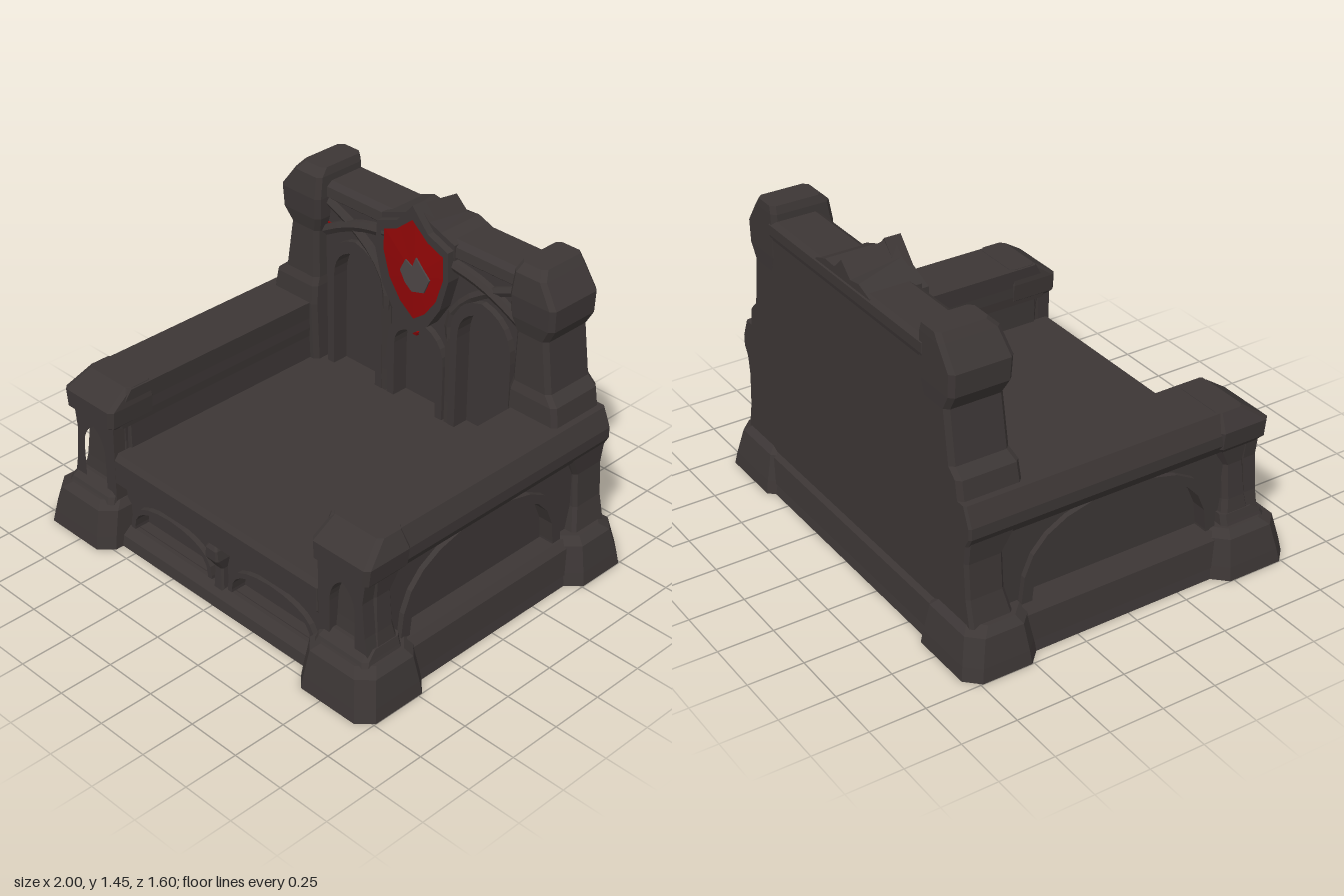
import * as THREE from 'three';

const stone = new THREE.MeshStandardMaterial({ color: 0x3c3635 });
stone.name = 'dark stone';
const red = new THREE.MeshStandardMaterial({ color: 0x900607 });
red.name = 'shield red';
const grey = new THREE.MeshStandardMaterial({ color: 0x4c4545 });
grey.name = 'worn grey';

// Outline of an arch; roundness 1 is a round head, lower is more pointed
function arch(cx, hw, y0, spring, top, roundness) {
  const cy = spring + (top - spring) * roundness;
  const p = new THREE.Path();
  p.moveTo(cx - hw, y0);
  p.lineTo(cx - hw, spring);
  p.quadraticCurveTo(cx - hw, cy, cx, top);
  p.quadraticCurveTo(cx + hw, cy, cx + hw, spring);
  p.lineTo(cx + hw, y0);
  return p.getPoints(6);
}

const vecs = (list) => list.map(([x, y]) => new THREE.Vector2(x, y));
const mirrored = (half) => vecs([
  ...half, ...half.filter((p) => p[0] > 0).reverse().map(([x, y]) => [-x, y]),
]);

function slab(points, holes, depth) {
  const shape = new THREE.Shape(points);
  for (const h of holes) shape.holes.push(new THREE.Path(h));
  return new THREE.ExtrudeGeometry(shape, { depth, bevelEnabled: false });
}

// Chamfered block through levels [y, x0, x1, z0, z1], mirrored when side is -1
function block(levels, c = 0.02, side = 1) {
  const pos = [];
  const rings = levels.map(([y, a, b, z0, z1]) => {
    const x0 = side > 0 ? a : -b, x1 = side > 0 ? b : -a;
    return [[x0, z1 - c], [x0 + c, z1], [x1 - c, z1], [x1, z1 - c],
      [x1, z0 + c], [x1 - c, z0], [x0 + c, z0], [x0, z0 + c]].map(([x, z]) => [x, y, z]);
  });
  const bottom = rings[0], top = rings[rings.length - 1];
  for (let i = 1; i < 7; i++) {
    pos.push(...bottom[0], ...bottom[i + 1], ...bottom[i]);
    pos.push(...top[0], ...top[i], ...top[i + 1]);
  }
  for (let r = 0; r + 1 < rings.length; r++) {
    for (let i = 0; i < 8; i++) {
      const j = (i + 1) % 8, lo = rings[r], hi = rings[r + 1];
      pos.push(...lo[i], ...lo[j], ...hi[j], ...lo[i], ...hi[j], ...hi[i]);
    }
  }
  const g = new THREE.BufferGeometry();
  g.setAttribute('position', new THREE.Float32BufferAttribute(pos, 3));
  g.computeVertexNormals();
  return g;
}

// Shallow faceted dome over an outline
function dome(points, cx, cy, rim, peak) {
  const pos = [];
  points.forEach((p, i) => {
    const q = points[(i + 1) % points.length];
    const flip = THREE.ShapeUtils.isClockWise(points);
    const [a, b] = flip ? [q, p] : [p, q];
    pos.push(cx, cy, peak, a.x, a.y, rim, b.x, b.y, rim);
  });
  const g = new THREE.BufferGeometry();
  g.setAttribute('position', new THREE.Float32BufferAttribute(pos, 3));
  g.computeVertexNormals();
  return g;
}

export function createModel() {
  const model = new THREE.Group();
  model.name = 'stoneThrone';
  const add = (name, geometry, material = stone, z = 0) => {
    const m = new THREE.Mesh(geometry, material);
    m.name = name;
    m.position.z = z;
    model.add(m);
    return m;
  };
  const ring = (name, o, i, depth, z) => add(name, slab([...o, ...i.reverse()], [], depth), stone, z);
  const rib = (name, pts, r) => {
    const curve = new THREE.CatmullRomCurve3(pts.map((p) => new THREE.Vector3(...p)));
    const g = new THREE.TubeGeometry(curve, 8, r, 6).toNonIndexed();
    g.computeVertexNormals();
    add(name, g);
  };

  // Base and seat
  add('base', block([[0, -0.94, 0.94, -0.77, 0.7], [0.05, -0.93, 0.93, -0.76, 0.69], [0.08, -0.92, 0.92, -0.76, 0.65]]));
  add('backPlinth', block([[0.05, -0.93, 0.93, -0.765, -0.5], [0.17, -0.91, 0.91, -0.755, -0.5], [0.19, -0.9, 0.9, -0.735, -0.5]]));
  add('seatCore', block([[0.05, -0.64, 0.64, -0.6, 0.58], [0.32, -0.64, 0.64, -0.6, 0.58]]));
  add('seat', block([[0.285, -0.62, 0.62, -0.6, 0.66], [0.31, -0.62, 0.62, -0.6, 0.69],
    [0.425, -0.62, 0.62, -0.6, 0.69], [0.45, -0.62, 0.62, -0.6, 0.67]], 0.005));

  // Arcade under the seat
  const lowArch = (s, grow) => arch(s * 0.31, 0.235 + grow, 0.085, 0.1, 0.225 + grow, 0.95);
  add('seatArcade', slab(vecs([[-0.62, 0.07], [0.62, 0.07], [0.62, 0.3], [-0.62, 0.3]]),
    [lowArch(-1, 0), lowArch(1, 0)], 0.05), stone, 0.58);
  for (const s of [-1, 1]) ring('seatArchMoulding', lowArch(s, 0.025), lowArch(s, 0), 0.025, 0.63);
  add('seatPost', block([[0.07, -0.03, 0.03, 0.58, 0.665], [0.18, -0.025, 0.025, 0.58, 0.66],
    [0.24, -0.04, 0.04, 0.58, 0.7], [0.29, -0.035, 0.035, 0.58, 0.7], [0.31, -0.025, 0.025, 0.58, 0.69]], 0.008));

  for (const s of [-1, 1]) {
    // Corner feet and side plinths
    for (const [z0, z1, f] of [[0.42, 0.8, 1], [-0.8, -0.45, -1]]) {
      const zs = (d) => (f > 0 ? [z0 + d * 0.5, z1 - d] : [z0 + d, z1 - d * 0.5]);
      add('cornerFoot', block([[0, 0.58, 1, ...zs(0)], [0.06, 0.585, 0.99, ...zs(0.01)],
        [0.18, 0.595, 0.965, ...zs(0.035)], [0.21, 0.62, 0.93, ...zs(0.07)]], 0.06, s));
    }
    add('sidePlinth', block([[0.05, 0.6, 0.935, -0.6, 0.6], [0.17, 0.6, 0.92, -0.6, 0.6], [0.2, 0.6, 0.89, -0.6, 0.6]], 0.01, s));

    // Arm wall with a wide blind arch outside
    add('armWall', block([[0.1, 0.61, 0.81, -0.72, 0.6], [0.6, 0.61, 0.81, -0.72, 0.6]], 0.005, s));
    const wide = (grow) => arch(0, 0.43 + grow, 0.19, 0.21, 0.54 + grow * 0.7, 1);
    const outer = slab(vecs([[-0.6, 0.15], [0.6, 0.15], [0.6, 0.6], [-0.6, 0.6]]), [wide(0)], 0.055);
    const moulding = slab([...wide(0.05), ...wide(0).reverse()], [], 0.08);
    for (const [name, g] of [['sideArcade', outer], ['sideArchMoulding', moulding]]) {
      const m = add(name, g);
      m.rotation.y = s * Math.PI / 2;
      m.position.x = s * 0.8;
    }

    // Front pillar with a lancet niche, and rear pillar
    add('frontPillar', block([[0.19, 0.63, 0.91, 0.5, 0.655], [0.32, 0.63, 0.885, 0.52, 0.64],
      [0.48, 0.63, 0.87, 0.52, 0.63], [0.6, 0.62, 0.885, 0.46, 0.64]], 0.02, s));
    const niche = arch(s * 0.755, 0.07, 0.22, 0.4, 0.53, 0.7);
    add('frontPillarFace', slab(vecs([[0.625, 0.2], [0.905, 0.2], [0.88, 0.32], [0.865, 0.48], [0.88, 0.59], [0.62, 0.59]]
      .map(([x, y]) => [s * x, y])), [niche], 0.06), stone, 0.625);
    add('frontPillarFoot', block([[0.18, 0.62, 0.925, 0.5, 0.73], [0.225, 0.63, 0.91, 0.5, 0.71], [0.26, 0.64, 0.9, 0.5, 0.665]], 0.02, s));
    add('rearPillar', block([[0.18, 0.6, 0.915, -0.735, -0.53], [0.32, 0.6, 0.885, -0.735, -0.56],
      [0.48, 0.6, 0.875, -0.735, -0.56], [0.6, 0.6, 0.89, -0.735, -0.5]], 0.015, s));

    // Armrest and its front cap
    add('armrest', block([[0.565, 0.61, 0.88, -0.735, 0.65], [0.61, 0.605, 0.905, -0.735, 0.66],
      [0.66, 0.605, 0.905, -0.735, 0.66], [0.745, 0.6, 0.87, -0.735, 0.6]], 0.01, s));
    add('armrestCap', block([[0.56, 0.63, 0.88, 0.48, 0.68], [0.59, 0.605, 0.905, 0.46, 0.71],
      [0.67, 0.6, 0.915, 0.46, 0.71], [0.747, 0.61, 0.875, 0.47, 0.6]], 0.02, s));

    // Back post with flared foot and heavy head
    add('backPost', block([[0.4, 0.57, 0.82, -0.735, -0.46], [0.74, 0.57, 0.84, -0.735, -0.445], [0.83, 0.57, 0.825, -0.735, -0.45],
      [0.87, 0.575, 0.78, -0.735, -0.465], [1.12, 0.58, 0.745, -0.735, -0.47]], 0.02, s));
    add('backPostHead', block([[1.1, 0.575, 0.745, -0.735, -0.47], [1.17, 0.555, 0.785, -0.737, -0.455],
      [1.27, 0.55, 0.79, -0.737, -0.45], [1.37, 0.555, 0.72, -0.737, -0.465], [1.405, 0.565, 0.695, -0.735, -0.5]], 0.02, s));
  }

  // Backrest with three lancet arches
  add('backSlab', block([[0.1, -0.66, 0.66, -0.735, -0.58], [1.3, -0.66, 0.66, -0.735, -0.58]], 0.005));
  const lancets = [[-0.37, 0.13, 0.9, 1.06], [0, 0.125, 0.72, 0.83], [0.37, 0.13, 0.9, 1.06]];
  const lancet = ([cx, hw, spring, top], grow) => arch(cx, hw + grow, 0.44, spring, top + grow * 1.5, 0.85);
  add('backArcade', slab(vecs([[-0.6, 0.4], [0.6, 0.4], [0.6, 1.28], [-0.6, 1.28]]),
    lancets.map((l) => lancet(l, 0)), 0.05), stone, -0.58);
  for (const l of lancets) ring('backArchMoulding', lancet(l, 0.04), lancet(l, 0), 0.03, -0.53);
  add('topRail', block([[1.255, -0.6, 0.6, -0.735, -0.53], [1.275, -0.6, 0.6, -0.74, -0.505],
    [1.32, -0.6, 0.6, -0.74, -0.51], [1.34, -0.6, 0.6, -0.72, -0.54]], 0.01));
  for (const s of [-1, 1]) {
    rib('spandrelRib', [[s * 0.57, 1.1, -0.525], [s * 0.46, 1.16, -0.52], [s * 0.33, 1.21, -0.515], [s * 0.18, 1.24, -0.51]], 0.027);
    rib('shieldRib', [[s * 0.57, 1.25, -0.53], [s * 0.42, 1.19, -0.525], [s * 0.28, 1.1, -0.52], [s * 0.19, 0.98, -0.515], [s * 0.19, 0.86, -0.52]], 0.024);
    rib('arcadeShaft', [[s * 0.19, 0.45, -0.525], [s * 0.19, 0.65, -0.525], [s * 0.19, 0.88, -0.52]], 0.026);
    add('sideRedTrim', block([[1.11, 0.535, 0.565, -0.55, -0.525], [1.14, 0.535, 0.565, -0.55, -0.525]], 0.002, s), red);
  }

  // Peaked crest above the rail
  const crest = slab(mirrored([[0, 1.445], [0.065, 1.385], [0.13, 1.36], [0.21, 1.33], [0.21, 1.25]]), [], 0.235);
  crest.translate(0, 0, -0.735);
  const cp = crest.attributes.position;
  for (let i = 0; i < cp.count; i++) {
    if (cp.getY(i) > 1.38 && cp.getZ(i) < -0.6) cp.setY(i, cp.getY(i) - 0.035);
  }
  crest.computeVertexNormals();
  add('crest', crest);

  // Framed shield with a worn patch
  const face = mirrored([[0, 1.385], [0.09, 1.31], [0.18, 1.275], [0.183, 1.17], [0.145, 1.05], [0.08, 0.96], [0, 0.9]]);
  const rim = mirrored([[0, 1.45], [0.09, 1.35], [0.205, 1.305], [0.212, 1.17], [0.17, 1.02], [0.1, 0.91], [0, 0.83]]);
  add('shieldBody', slab(rim, [], 0.05), stone, -0.54);
  add('shieldFrame', slab(rim, [face], 0.03), stone, -0.495);
  add('shieldFace', dome(face, 0.01, 1.12, -0.484, -0.472), red);
  add('shieldPatch', slab(vecs([[-0.07, 1.12], [-0.04, 1.18], [0, 1.16], [0.02, 1.21], [0.06, 1.17], [0.1, 1.13],
    [0.07, 1.06], [0, 1.04], [-0.04, 1.07]]), [], 0.008), grey, -0.477);
  add('shieldTip', block([[0.815, -0.012, 0.012, -0.53, -0.495], [0.84, -0.025, 0.025, -0.53, -0.487]], 0.004), red);
  return model;
}
